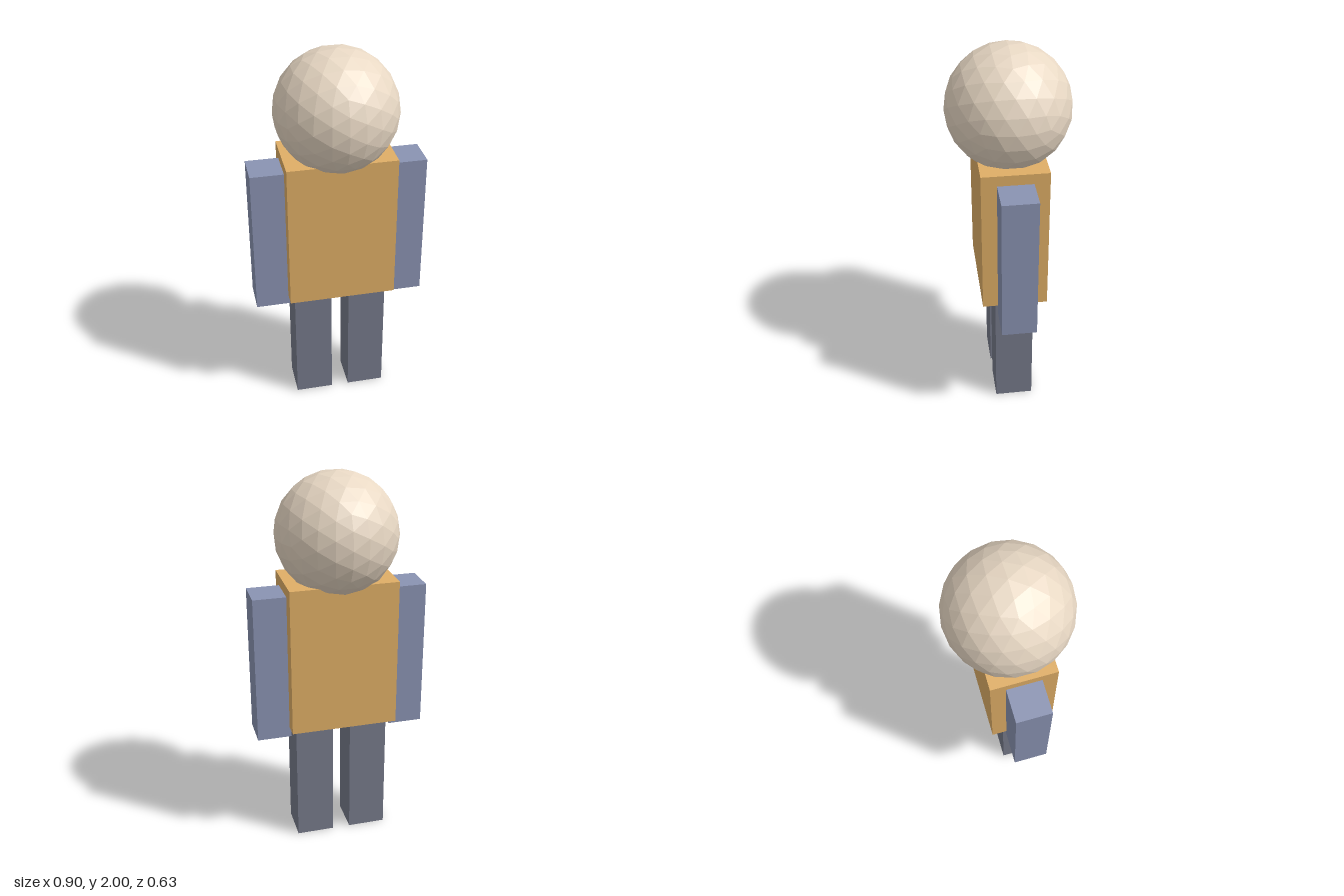
import * as THREE from 'three';

const mat = (color) => new THREE.MeshStandardMaterial({ color, flatShading: true });

export function createModel() {
  const model = new THREE.Group();
  const skin = mat(0xe8d8c4);
  const shirt = mat(0xdfae66);
  const sleeve = mat(0x8a93b2);
  const trousers = mat(0x767a8a);

  const add = (name, geometry, material, x, y) => {
    const mesh = new THREE.Mesh(geometry, material);
    mesh.name = name;
    mesh.position.set(x, y, 0);
    model.add(mesh);
  };

  // Faceted head, sunk a little into the torso
  add('head', new THREE.IcosahedronGeometry(0.313, 3), skin, 0, 1.687);

  // Torso block
  add('torso', new THREE.BoxGeometry(0.56, 0.785, 0.336), shirt, 0, 1.072);

  // Arms and legs, mirrored left and right
  for (const [side, s] of [['left', 1], ['right', -1]]) {
    add(side + 'Arm', new THREE.BoxGeometry(0.18, 0.785, 0.18), sleeve, s * 0.36, 1.017);
    add(side + 'Leg', new THREE.BoxGeometry(0.2, 0.785, 0.2), trousers, s * 0.147, 0.3925);
  }
  return model;
}
